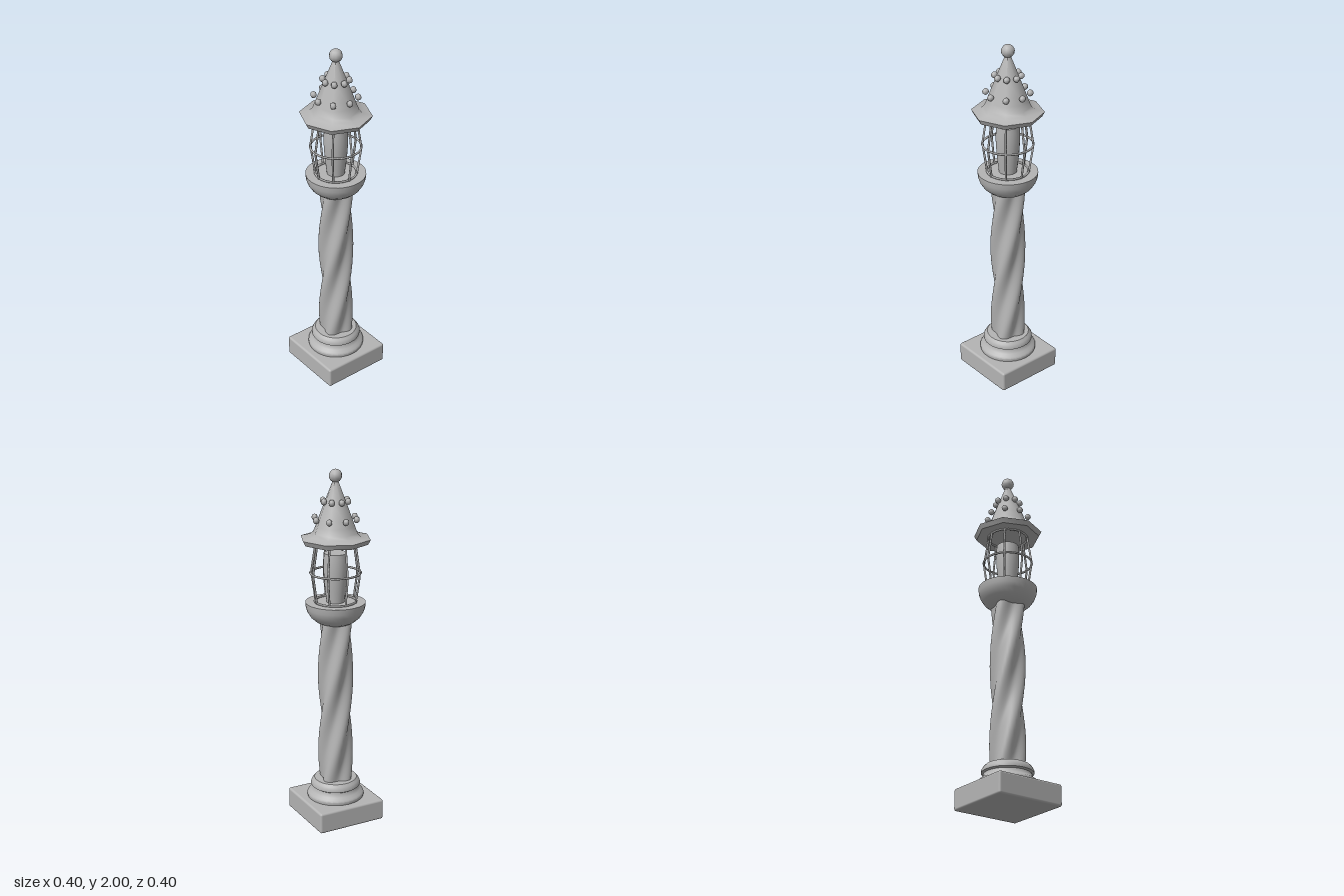
import * as THREE from 'three';
import { mergeVertices, toCreasedNormals } from 'three/addons/utils/BufferGeometryUtils.js';
import { RoundedBoxGeometry } from 'three/addons/geometries/RoundedBoxGeometry.js';

const stone = new THREE.MeshStandardMaterial({ color: 0xb4b4b4 });
stone.name = 'grey stone';

export function createModel() {
  const model = new THREE.Group();
  model.name = 'lampPost';

  const add = (name, geometry, x = 0, y = 0, z = 0, parent = model) => {
    const mesh = new THREE.Mesh(geometry, stone);
    mesh.name = name;
    mesh.position.set(x, y, z);
    parent.add(mesh);
    return mesh;
  };
  const group = (name) => {
    const g = new THREE.Group();
    g.name = name;
    model.add(g);
    return g;
  };
  // Turned profile of [radius, height] points, listed from the bottom up
  const turned = (points, sides, crease = 0.6) => toCreasedNormals(
    new THREE.LatheGeometry(points.map(([r, y]) => new THREE.Vector2(r, y)), sides), crease);

  // Square plinth and moulded foot
  add('plinth', new RoundedBoxGeometry(0.404, 0.12, 0.404, 3, 0.012), 0, 0.06, 0);
  add('foot', turned([
    [0, 0.115], [0.158, 0.115], [0.161, 0.125], [0.161, 0.138], [0.155, 0.147],
    [0.14, 0.158], [0.131, 0.172], [0.129, 0.183], [0.14, 0.19], [0.14, 0.203],
    [0.132, 0.218], [0.12, 0.231], [0, 0.231],
  ], 32), 0, 0, 0);

  // Twisted four-lobed column
  const height = 0.95;
  const column = new THREE.CylinderGeometry(1, 1, height, 48, 64, true);
  const pos = column.attributes.position;
  for (let i = 0; i < pos.count; i++) {
    const y = pos.getY(i) + height / 2 + 0.22;
    const angle = Math.atan2(pos.getX(i), pos.getZ(i));
    const twist = (y - 1.0) / 0.465 * Math.PI / 2;
    const r = 0.086 + 0.012 * Math.cos(4 * (angle - twist));
    pos.setXYZ(i, r * Math.sin(angle), y, r * Math.cos(angle));
  }
  column.deleteAttribute('uv');
  column.deleteAttribute('normal');
  const shaft = mergeVertices(column, 1e-5);
  shaft.computeVertexNormals();
  add('twistedColumn', shaft);

  // Bowl under the lantern
  add('bowl', turned([
    [0, 1.155], [0.085, 1.155], [0.11, 1.168], [0.135, 1.19], [0.153, 1.218],
    [0.162, 1.243], [0.165, 1.274], [0, 1.274],
  ], 32));

  // Lamp inside the cage
  add('lamp', turned([
    [0, 1.27], [0.048, 1.27], [0.057, 1.34], [0.063, 1.41], [0.066, 1.47],
    [0.064, 1.52], [0.062, 1.547], [0, 1.547],
  ], 24));

  // Cage of eight bent bars and three hoops
  const cage = group('cage');
  const path = new THREE.CurvePath();
  const bends = [[0.113, 1.27], [0.137, 1.435], [0.11, 1.61]]
    .map(([r, y]) => new THREE.Vector3(r, y, 0));
  path.add(new THREE.LineCurve3(bends[0], bends[1]));
  path.add(new THREE.LineCurve3(bends[1], bends[2]));
  const bar = new THREE.TubeGeometry(path, 12, 0.006, 6);
  for (let i = 0; i < 8; i++) {
    add('cageBar', bar, 0, 0, 0, cage).rotation.y = i * Math.PI / 4;
  }
  for (const [r, y] of [[0.113, 1.279], [0.137, 1.437], [0.111, 1.6]]) {
    add('cageHoop', new THREE.TorusGeometry(r, 0.006, 6, 32), 0, y, 0, cage).rotation.x = Math.PI / 2;
  }

  // Eight-sided roof with a flared eave
  add('roof', turned([
    [0, 1.603], [0.181, 1.603], [0.195, 1.63], [0.142, 1.643],
    [0.124, 1.66], [0.11, 1.695], [0.095, 1.735], [0.058, 1.83], [0.012, 1.945], [0, 1.945],
  ], 8, 0.85));

  // Two rows of studs and the ball on top
  const studs = group('roofStuds');
  const stud = new THREE.SphereGeometry(0.018, 6, 6);
  for (const [r, y] of [[0.117, 1.735], [0.07, 1.83]]) {
    for (let i = 0; i < 8; i++) {
      const a = i * Math.PI / 4;
      add('roofStud', stud, r * Math.sin(a), y, r * Math.cos(a), studs).rotation.y = Math.PI / 6;
    }
  }
  add('finialBall', new THREE.SphereGeometry(0.036, 10, 8), 0, 1.964, 0);

  return model;
}
